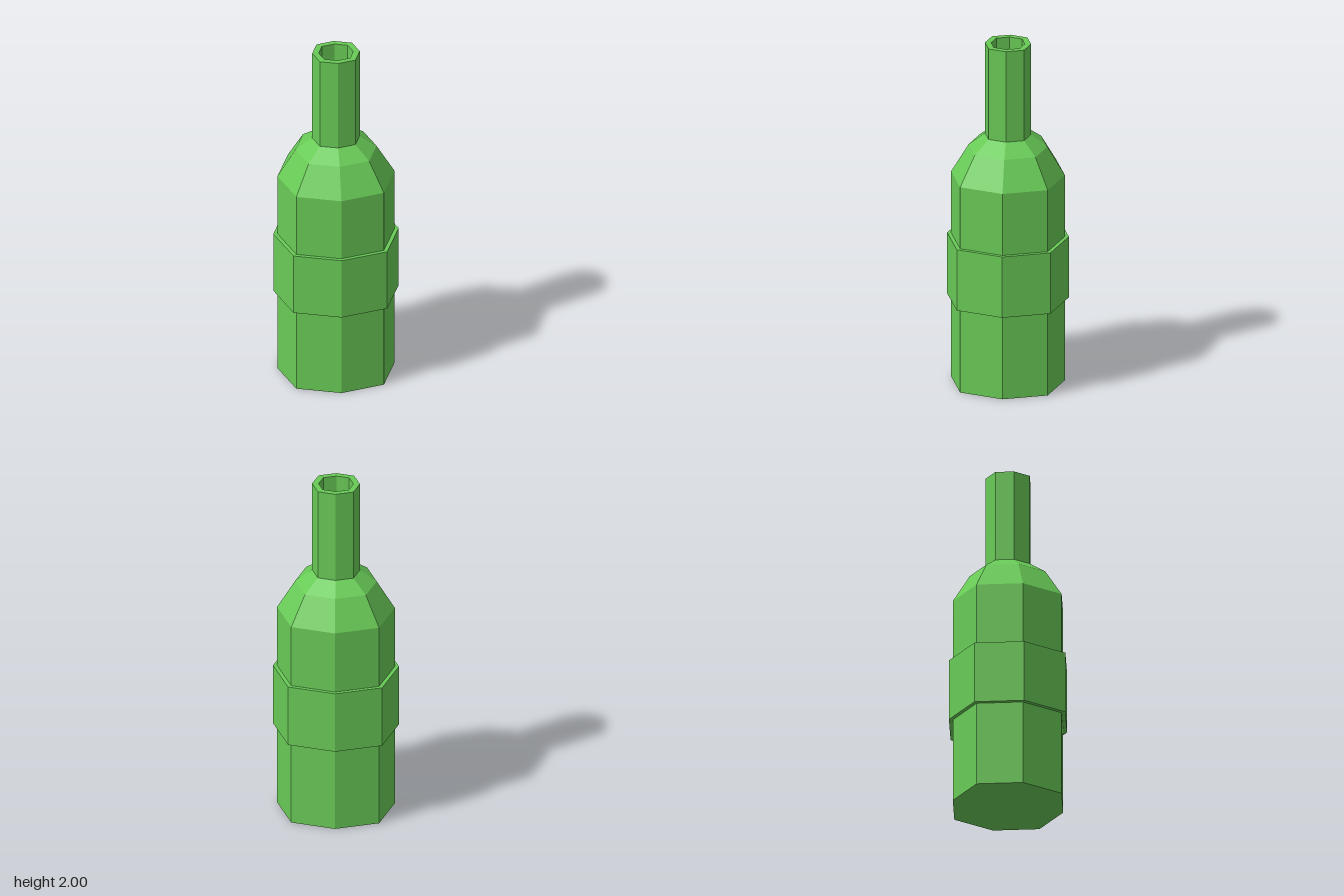
import * as THREE from 'three';

const green = new THREE.MeshStandardMaterial({ color: 0x69cb57, flatShading: true });
green.name = 'bottle green';

// Eight-sided lathe whose octagon has slightly pushed-out diagonals and is a little shallower in z
function octagonLathe(name, profile) {
  const geo = new THREE.LatheGeometry(profile.map(([r, y]) => new THREE.Vector2(r, y)), 8);
  const pos = geo.attributes.position;
  for (let i = 0; i < pos.count; i++) {
    const x = pos.getX(i), z = pos.getZ(i);
    const diagonal = Math.abs(x) > 1e-4 && Math.abs(z) > 1e-4;
    pos.setX(i, x * (diagonal ? 1.056 : 1));
    pos.setZ(i, z * (diagonal ? 1.056 : 0.97));
  }
  const flat = geo.toNonIndexed();
  flat.computeVertexNormals();
  const mesh = new THREE.Mesh(flat, green);
  mesh.name = name;
  return mesh;
}

export function createModel() {
  const group = new THREE.Group();
  group.name = 'bottle';
  group.add(
    // Base and lower wall
    octagonLathe('lowerBody', [[0, 0], [0.328, 0], [0.328, 0.495]]),
    // Raised label band with its two ledges
    octagonLathe('labelBand', [[0.328, 0.495], [0.351, 0.495], [0.351, 0.858], [0.328, 0.858]]),
    // Upper wall and two-step shoulder
    octagonLathe('shoulder', [[0.328, 0.858], [0.328, 1.225], [0.227, 1.39], [0.133, 1.46]]),
    // Hollow neck: outer wall, rim, inner wall and floor
    octagonLathe('neck', [[0.133, 1.46], [0.133, 2], [0.097, 2], [0.097, 1.46], [0, 1.46]])
  );
  return group;
}
